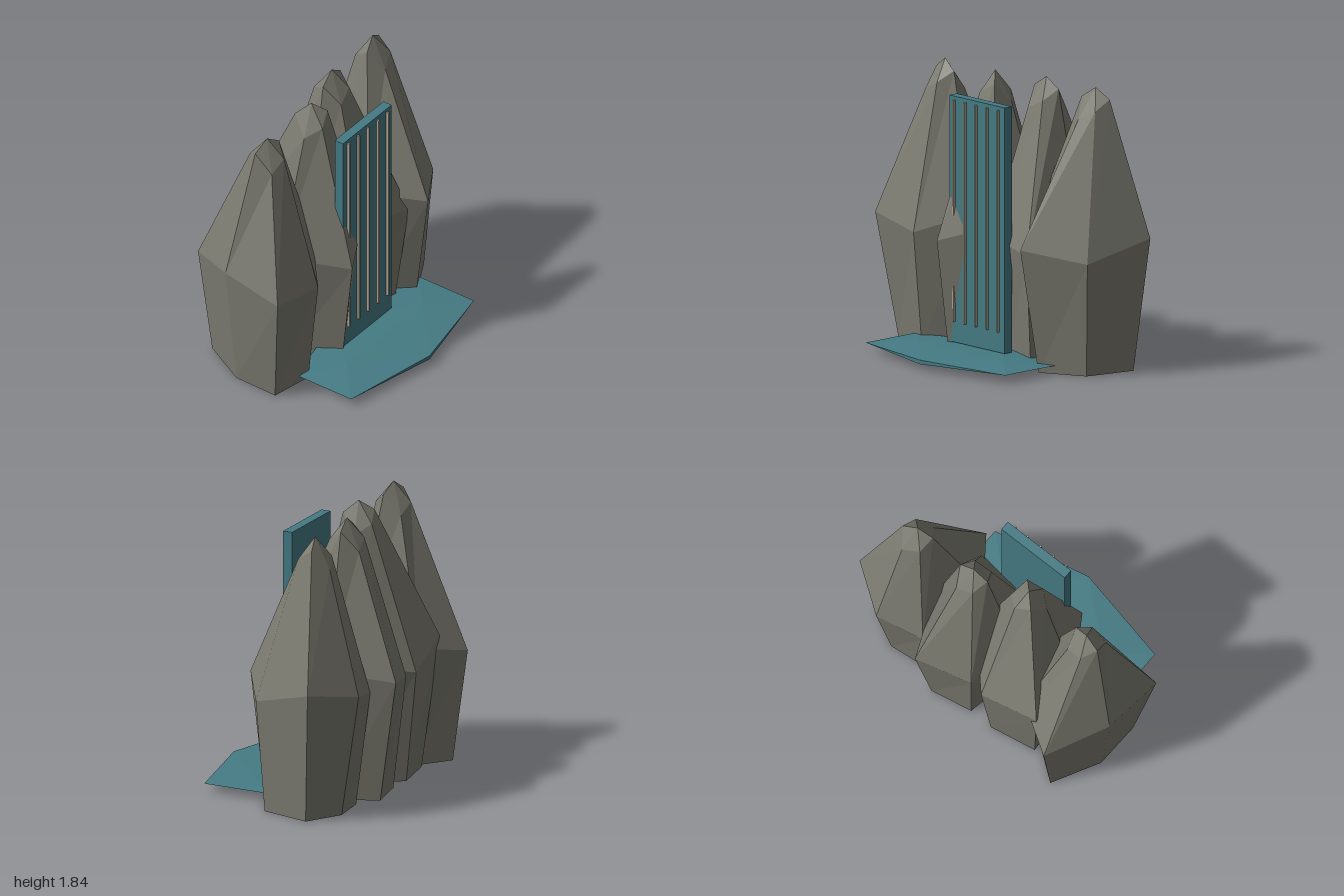
import * as THREE from 'three';

const stone = new THREE.MeshStandardMaterial({ color: 0x7d7c72, side: THREE.DoubleSide });
stone.name = 'stone grey';
stone.flatShading = true;
const teal = new THREE.MeshStandardMaterial({ color: 0x457b84 });
teal.name = 'water teal';
teal.flatShading = true;
const foam = new THREE.MeshStandardMaterial({ color: 0xa8a290 });
foam.name = 'pale streak';

// Corner rules, repeating every third corner
const FOOT_SCALE = [0.71, 0.8, 0.75];
const SHOULDER_Y = [0.82, 0.75, 0.88];
const CROWN_Y = [1.64, 1.7, 1.77];
const CROWN_R = [0.127, 0.114, 0.106];

// Faceted pillar, open underneath: foot ring, wide shoulder ring, narrow crown ring, tip
function makeRock(name, [footX, footZ], [tipX, tipZ], phase, shoulder) {
  const foot = shoulder.map(([x, z], k) => {
    const s = FOOT_SCALE[k % 3];
    return [footX + (x - footX) * s, 0, footZ + (z - footZ) * s];
  });
  const mid = shoulder.map(([x, z], k) => [x, SHOULDER_Y[k % 3], z]);
  const crown = shoulder.map((_, k) => {
    const a = THREE.MathUtils.degToRad(phase + 60 * k);
    const r = CROWN_R[k % 3];
    return [tipX + Math.sin(a) * r, CROWN_Y[k % 3], tipZ + Math.cos(a) * r];
  });
  const tip = [tipX, 1.84, tipZ];
  const pos = [];
  const tri = (a, b, c) => pos.push(...a, ...b, ...c);
  for (let k = 0; k < 6; k++) {
    const n = (k + 1) % 6;
    for (const [lo, hi] of [[foot, mid], [mid, crown]]) {
      tri(lo[k], lo[n], hi[n]);
      tri(lo[k], hi[n], hi[k]);
    }
    tri(crown[k], crown[n], tip);
  }
  const geo = new THREE.BufferGeometry();
  geo.setAttribute('position', new THREE.Float32BufferAttribute(pos, 3));
  geo.computeVertexNormals();
  const mesh = new THREE.Mesh(geo, stone);
  mesh.name = name;
  return mesh;
}

export function createModel() {
  const group = new THREE.Group();
  group.name = 'rockyWaterfall';

  // Four cliff pillars: foot centre, tip, turn in degrees, shoulder corners as [x, z]
  group.add(
    makeRock('farRightRock', [-0.62, -0.17], [-0.68, -0.14], -40,
      [[-1.0, 0.18], [-0.6, 0.21], [-0.31, -0.05], [-0.42, -0.46], [-0.74, -0.65], [-0.97, -0.26]]),
    makeRock('innerRightRock', [-0.24, -0.18], [-0.2, -0.14], 105,
      [[0.15, -0.25], [-0.16, -0.58], [-0.58, -0.53], [-0.56, -0.12], [-0.31, 0.27], [0.05, 0.09]]),
    makeRock('innerLeftRock', [0.2, -0.23], [0.17, -0.25], -25,
      [[0.03, 0.1], [0.44, 0.17], [0.48, -0.27], [0.31, -0.68], [-0.06, -0.56], [-0.14, -0.2]]),
    makeRock('farLeftRock', [0.63, -0.15], [0.63, -0.26], -14,
      [[0.5, 0.28], [0.88, 0.04], [1.0, -0.4], [0.69, -0.61], [0.37, -0.525], [0.27, -0.03]])
  );

  // Falling sheet of water
  const sheet = new THREE.Mesh(new THREE.BoxGeometry(0.528, 1.625, 0.065), teal);
  sheet.name = 'waterSheet';
  sheet.position.set(-0.025, 0.892, 0.1475);
  group.add(sheet);

  // Thin streaks running down the sheet
  for (let i = -2; i <= 2; i++) {
    const streak = new THREE.Mesh(new THREE.BoxGeometry(0.013, 1.465, 0.02), foam);
    streak.name = 'waterStreak';
    streak.position.set(-0.025 + i * 0.106, 0.948, 0.187);
    group.add(streak);
  }

  // Flattened pool at the foot
  const pool = new THREE.Mesh(new THREE.IcosahedronGeometry(1, 0), teal);
  pool.name = 'pool';
  pool.scale.set(0.785, 0.026, 0.423);
  pool.position.set(-0.025, 0.056, 0.32);
  group.add(pool);

  return group;
}
